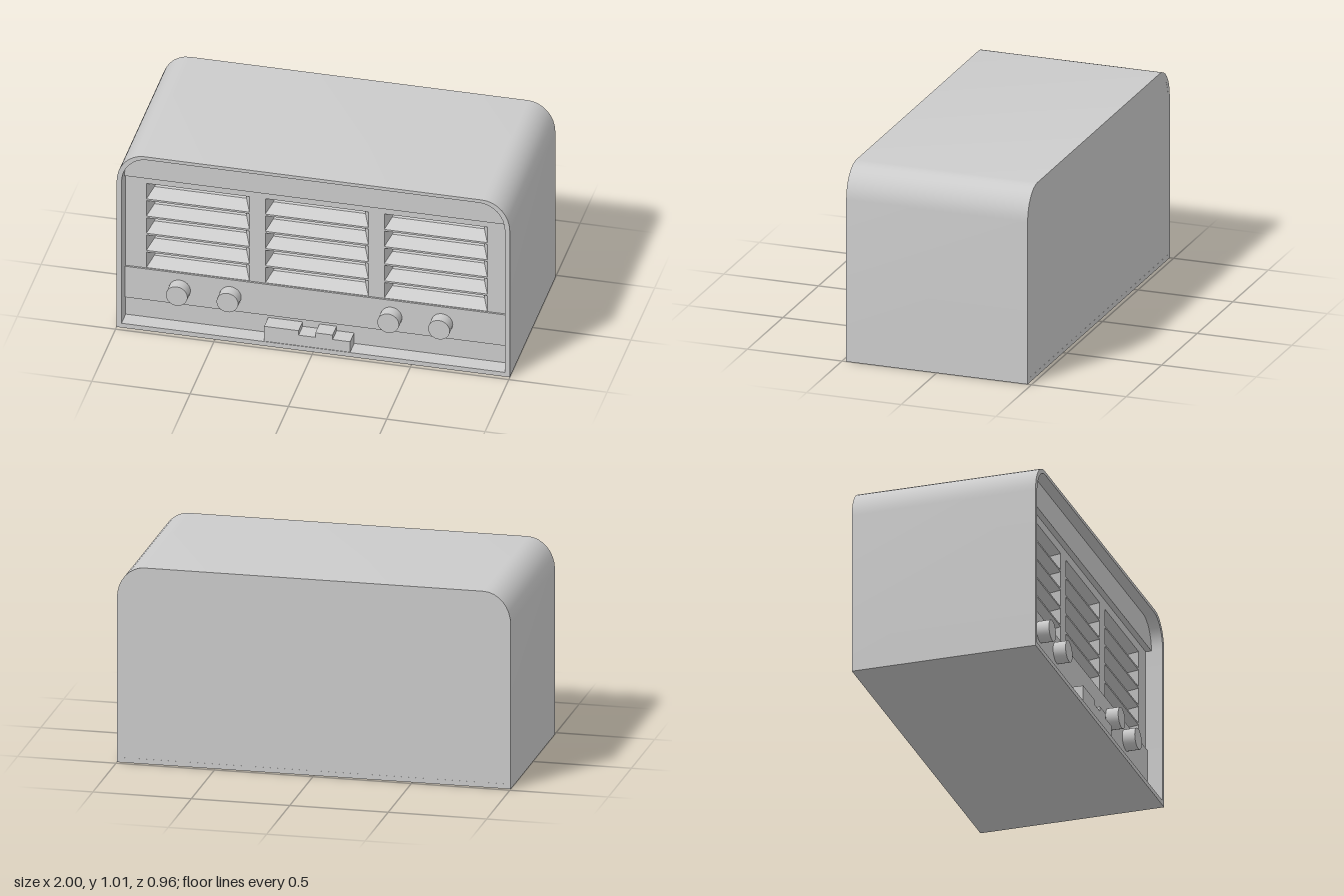
import * as THREE from 'three';
import { toCreasedNormals } from 'three/addons/utils/BufferGeometryUtils.js';

const FRONT = 0.478, BACK = -0.48, PANEL = 0.39;

export function createModel() {
  const group = new THREE.Group();
  const mat = new THREE.MeshStandardMaterial({ color: 0xcccccc });
  const add = (name, geo, x = 0, y = 0, z = 0) => {
    const m = new THREE.Mesh(geo, mat);
    m.name = name;
    m.position.set(x, y, z);
    group.add(m);
    return m;
  };

  // Upright outline with rounded top corners
  const outline = (Type, hw, bottom, top, rx) => {
    const ry = top - 0.85, s = new Type();
    s.moveTo(-hw, bottom);
    s.lineTo(hw, bottom);
    s.lineTo(hw, 0.85);
    s.absellipse(hw - rx, 0.85, rx, ry, 0, Math.PI / 2, false);
    s.lineTo(-hw + rx, top);
    s.absellipse(-hw + rx, 0.85, rx, ry, Math.PI / 2, Math.PI, false);
    return s;
  };
  const extrude = (shape, depth) => toCreasedNormals(
    new THREE.ExtrudeGeometry(shape, { depth, bevelEnabled: false, curveSegments: 4 }), 0.6);

  // Cabinet shell, open at the front, with a closing back
  const shell = outline(THREE.Shape, 1, 0, 1.013, 0.14);
  shell.holes.push(outline(THREE.Path, 0.975, 0.025, 0.995, 0.13));
  add('cabinetShell', extrude(shell, FRONT - BACK), 0, 0, BACK);
  add('backPanel', extrude(outline(THREE.Shape, 0.98, 0.02, 1, 0.13), 0.02), 0, 0, BACK + 0.0005);

  // Front bands: brow, control panel and plinth
  add('browPanel', extrude(outline(THREE.Shape, 0.975, 0.85, 0.995, 0.13), 0.06), 0, 0, 0.36);
  add('controlPanel', new THREE.BoxGeometry(1.95, 0.18, 0.06), 0, 0.22, 0.37);
  add('plinth', new THREE.BoxGeometry(1.95, 0.105, 0.06), 0, 0.0775, 0.36);

  // Funnel-shaped louvre: nested rectangles from the face to the slot floor
  const rings = [
    // half width, bottom, top, z
    [0.262, -0.055, 0.035, 0],
    [0.234, -0.012, 0.013, -0.055],
    [0.234, -0.012, 0.013, -0.1],
  ];
  const louvreGeometry = () => {
    const pos = [];
    const loops = rings.map(([w, b, t, z]) => [[-w, b, z], [w, b, z], [w, t, z], [-w, t, z]]);
    const quad = (a, b, c, d) => pos.push(...a, ...b, ...c, ...a, ...c, ...d);
    for (let r = 0; r < loops.length - 1; r++) {
      for (let i = 0; i < 4; i++) {
        const j = (i + 1) % 4;
        quad(loops[r][i], loops[r][j], loops[r + 1][j], loops[r + 1][i]);
      }
    }
    quad(...loops[loops.length - 1]);
    const g = new THREE.BufferGeometry();
    g.setAttribute('position', new THREE.Float32BufferAttribute(pos, 3));
    g.computeVertexNormals();
    return g;
  };

  // Grille face with three columns of five louvres
  const face = new THREE.Shape();
  face.moveTo(-0.975, 0.31).lineTo(0.975, 0.31).lineTo(0.975, 0.85).lineTo(-0.975, 0.85);
  const louvre = louvreGeometry();
  const [w, b, t] = rings[0];
  for (const x of [-0.608, -0.003, 0.602]) {
    for (let i = 0; i < 5; i++) {
      const y = 0.367 + i * 0.1;
      const hole = new THREE.Path();
      hole.moveTo(x - w, y + b).lineTo(x - w, y + t).lineTo(x + w, y + t).lineTo(x + w, y + b);
      face.holes.push(hole);
      add('louvre', louvre, x, y, PANEL);
    }
  }
  add('grilleFace', new THREE.ShapeGeometry(face), 0, 0, PANEL);

  // Control knobs
  const knob = toCreasedNormals(
    new THREE.CylinderGeometry(0.055, 0.055, 0.08, 24).rotateX(Math.PI / 2), 0.6);
  for (const x of [-0.698, -0.44, 0.378, 0.636]) add('knob', knob, x, 0.215, 0.425);

  // Stepped row of push keys
  const keys = new THREE.Shape();
  keys.moveTo(-0.25, 0.02).lineTo(0.187, 0.02).lineTo(0.187, 0.086).lineTo(0.098, 0.086)
    .lineTo(0.098, 0.112).lineTo(0.01, 0.112).lineTo(0.01, 0.086).lineTo(-0.075, 0.086)
    .lineTo(-0.075, 0.112).lineTo(-0.25, 0.112);
  add('keyRow', extrude(keys, 0.09), 0, 0, 0.385);

  return group;
}
